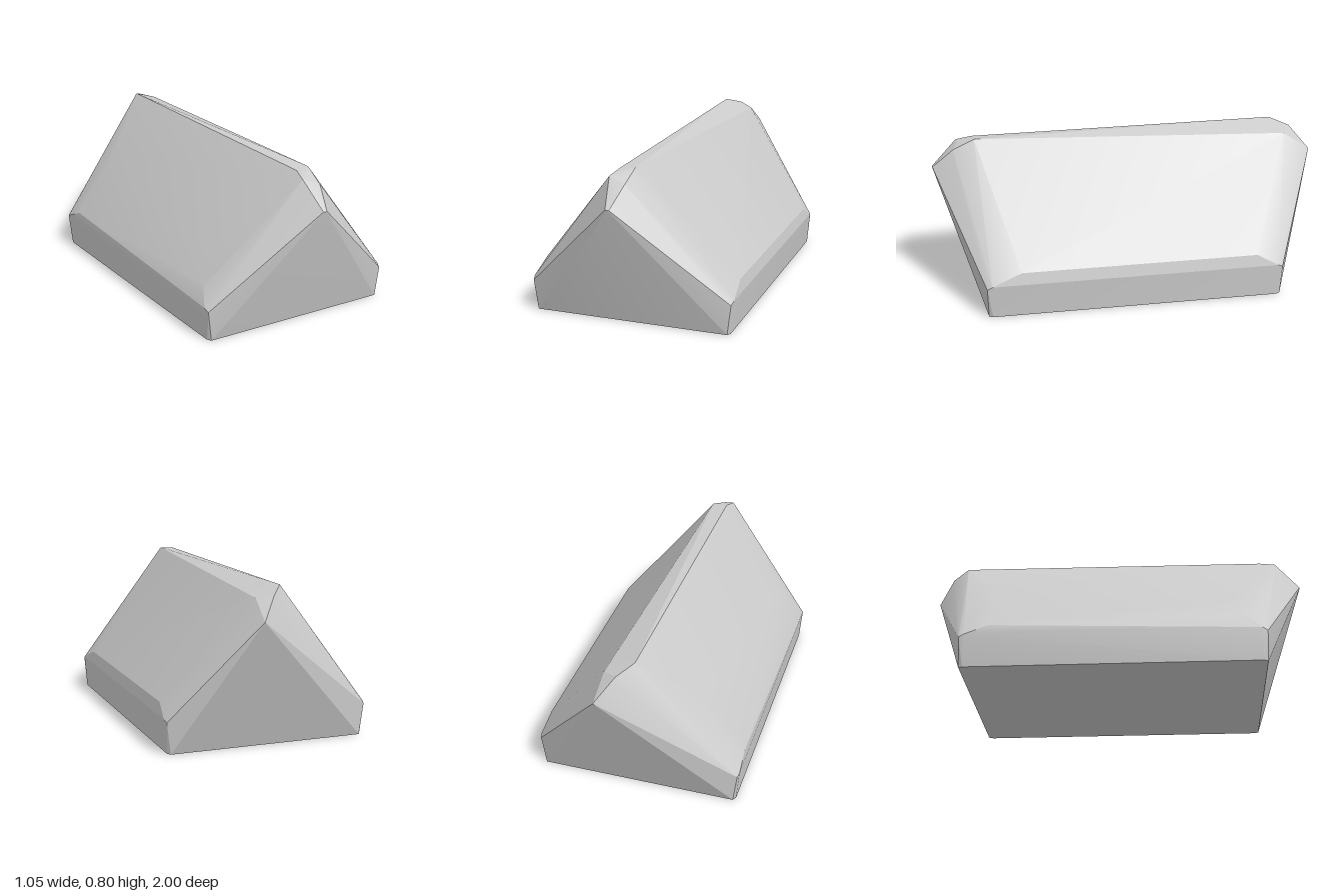
import * as THREE from 'three';
import { ConvexGeometry } from 'three/addons/geometries/ConvexGeometry.js';
import { toCreasedNormals } from 'three/addons/utils/BufferGeometryUtils.js';

export function createModel() {
  const group = new THREE.Group();
  group.name = 'wedgeBlock';
  const stone = new THREE.MeshStandardMaterial({ color: 0xcccccc });
  stone.name = 'light grey';

  const points = [];
  const add = (x, y, z) => points.push(new THREE.Vector3(x, y, z));

  // flat base and low side walls, with slightly clipped corners
  for (const s of [-1, 1]) {
    add(s * 0.5, 0, 0.77);
    add(s * 0.512, 0, 0.75);
    add(s * 0.5, 0, -0.75);
    add(s * 0.512, 0, -0.73);
    add(s * 0.52, 0.155, 0.775);
    add(s * 0.526, 0.17, 0.75);
    add(s * 0.52, 0.16, -0.755);
    add(s * 0.526, 0.17, -0.73);
  }

  // eaves and roof bevels
  add(0.512, 0.23, 0.6);
  add(0.512, 0.23, -0.62);
  add(-0.52, 0.22, -0.61);
  add(-0.49, 0.25, 0.68);
  add(-0.4, 0.375, 0.62);
  add(-0.3, 0.51, -0.62);

  // ridge, rounded off at both ends
  add(-0.025, 0.8, -0.82);
  add(0.04, 0.77, -0.91);
  add(0.115, 0.75, -0.86);
  add(-0.035, 0.785, 0.79);
  add(0.04, 0.79, 0.78);
  add(-0.055, 0.765, 0.87);
  add(0.03, 0.735, 0.89);
  add(-0.01, 0.765, 0.86);

  // overhanging end tips
  add(-0.025, 0.637, 0.998);
  add(-0.005, 0.637, 0.998);
  add(-0.015, 0.637, 1);
  add(0.125, 0.66, -1);

  const block = new THREE.Mesh(toCreasedNormals(new ConvexGeometry(points), 0.3), stone);
  block.name = 'block';
  group.add(block);
  return group;
}
